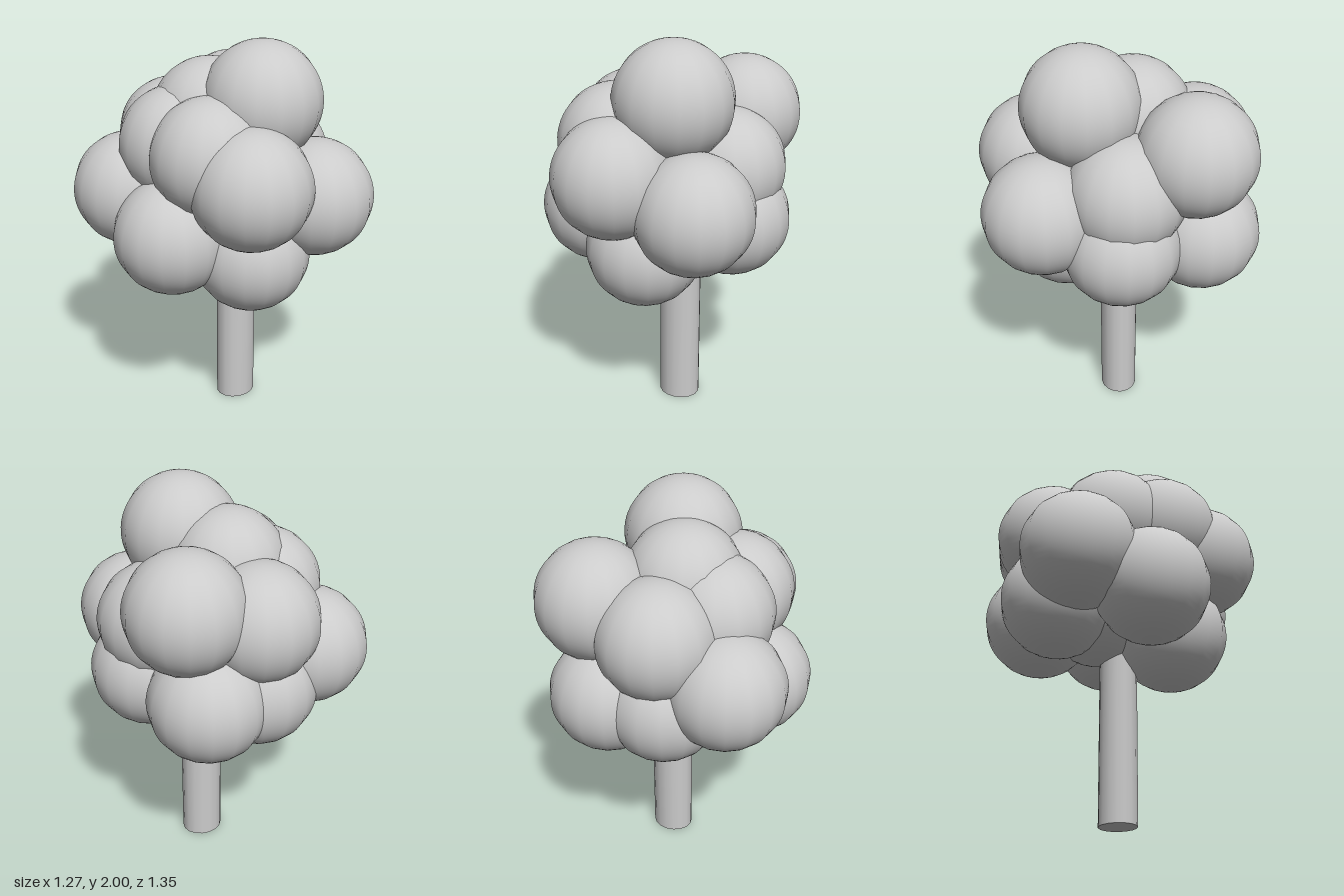
import * as THREE from 'three';

export function createModel() {
  const tree = new THREE.Group();
  tree.name = 'tree';
  const material = new THREE.MeshStandardMaterial({ color: 0xcccccc });

  // Trunk: slightly flattened post reaching into the crown
  const trunk = new THREE.Mesh(new THREE.CylinderGeometry(0.108, 0.108, 1.2, 16), material);
  trunk.name = 'trunk';
  trunk.scale.z = 0.88;
  trunk.position.set(0.077, 0.6, 0);
  tree.add(trunk);

  // Crown: equal overlapping balls of foliage, given by their centres
  const crown = new THREE.Group();
  crown.name = 'crown';
  const ball = new THREE.SphereGeometry(0.29, 16, 32);
  const centres = [
    // top
    [0.09, 1.71, 0.175], [-0.03, 1.6, -0.08],
    // front
    [-0.14, 1.38, 0.382], [0.255, 1.25, 0.382], [-0.03, 0.98, 0.25],
    // -x side
    [-0.348, 1.085, 0.04], [-0.348, 1.22, -0.325], [-0.2, 1.48, -0.115], [-0.2, 1.48, 0.15],
    // +x side
    [0.345, 1.1, 0.02], [0.307, 1.36, -0.005],
    // back
    [0.307, 1.54, -0.33], [-0.03, 1.44, -0.385], [0.23, 1.085, -0.385], [-0.05, 1.085, -0.355],
    // core around the trunk
    [0.05, 1.11, -0.12],
  ];
  for (const [x, y, z] of centres) {
    const foliage = new THREE.Mesh(ball, material);
    foliage.name = 'foliageBall';
    foliage.position.set(x, y, z);
    crown.add(foliage);
  }
  tree.add(crown);
  return tree;
}
